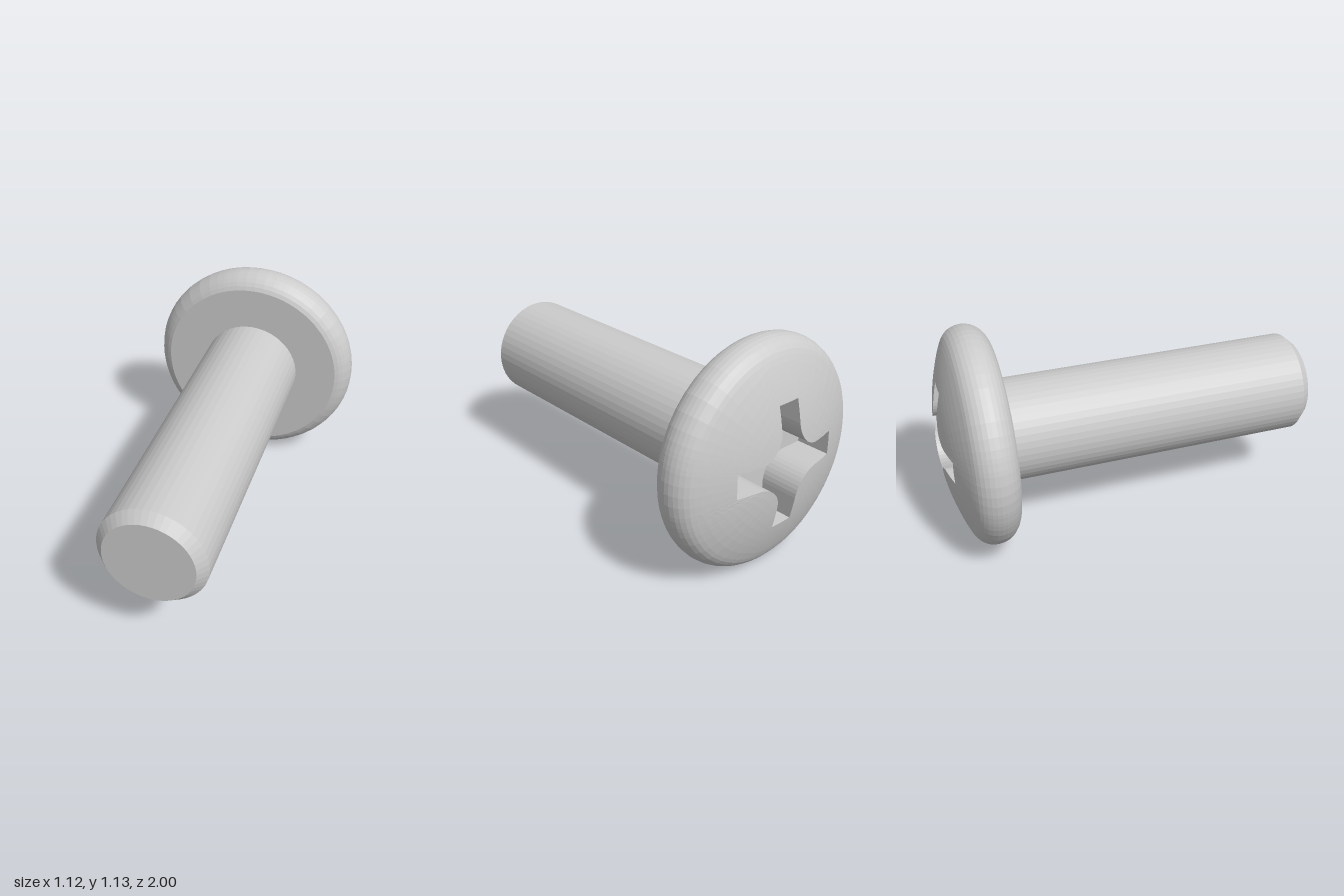
import * as THREE from 'three';

const material = new THREE.MeshStandardMaterial({ color: 0xcccccc, flatShading: true });

// Cross-shaped recess outline with filleted inner corners, counter-clockwise
function crossOutline(length, half, fillet, steps) {
  const c = half + fillet;
  const quarter = [[length, 0], [length, half / 2], [length, half], [(length + c) / 2, half]];
  for (let i = 0; i <= steps; i++) {
    const a = -Math.PI / 2 - (i / steps) * Math.PI / 2;
    quarter.push([c + fillet * Math.cos(a), c + fillet * Math.sin(a)]);
  }
  quarter.push([half, (length + c) / 2], [half, length], [half / 2, length]);
  const points = [];
  for (let q = 0; q < 4; q++) {
    for (const [x, y] of quarter) {
      points.push(new THREE.Vector2(x, y).rotateAround(new THREE.Vector2(), q * Math.PI / 2));
    }
  }
  return points;
}

// Skin between successive loops of equal point count
function loft(rings) {
  const n = rings[0].length, pos = [];
  for (let j = 0; j < rings.length - 1; j++) {
    for (let i = 0; i < n; i++) {
      const k = (i + 1) % n;
      const a = rings[j][i], b = rings[j][k], c = rings[j + 1][k], d = rings[j + 1][i];
      for (const tri of [[a, d, b], [b, d, c]]) {
        const area = new THREE.Triangle(...tri).getArea();
        if (area > 1e-9) for (const v of tri) pos.push(v.x, v.y, v.z);
      }
    }
  }
  const geometry = new THREE.BufferGeometry();
  geometry.setAttribute('position', new THREE.Float32BufferAttribute(pos, 3));
  geometry.computeVertexNormals();
  return geometry;
}

// Pan head: flat underside, rounded rim, shallow dome and cross recess
function headGeometry() {
  const outline = crossOutline(0.305, 0.06, 0.13, 10);
  const domeEdge = 0.493, apex = 0.322, R = 1.24, floor = 0.11;
  const domeHeight = r => apex - R + Math.sqrt(R * R - r * r);
  const circle = (r, h) => outline.map(p => {
    const a = p.angle();
    return new THREE.Vector3(r * Math.cos(a), r * Math.sin(a), -h);
  });
  const rings = [circle(0, 0)];
  // rim
  for (let i = 0; i <= 12; i++) {
    const a = THREE.MathUtils.degToRad(-69 + (136 * i) / 12);
    rings.push(circle(0.447 + 0.118 * Math.cos(a), Math.max(0, 0.11 + 0.118 * Math.sin(a))));
  }
  // dome, blending from the round edge to the recess outline
  for (let i = 1; i <= 8; i++) {
    rings.push(outline.map(p => {
      const r = THREE.MathUtils.lerp(domeEdge, p.length(), i / 8);
      const q = p.clone().setLength(r);
      return new THREE.Vector3(q.x, q.y, -domeHeight(r));
    }));
  }
  // recess wall and floor
  rings.push(outline.map(p => new THREE.Vector3(p.x, p.y, -floor)));
  rings.push(circle(0, floor));
  return loft(rings);
}

export function createModel() {
  const model = new THREE.Group();
  model.name = 'screw';
  const screw = new THREE.Group();
  screw.name = 'tiltedScrew';
  const add = (name, geometry) => {
    const mesh = new THREE.Mesh(geometry, material);
    mesh.name = name;
    screw.add(mesh);
  };

  const length = 1.655, chamfer = 0.05, radius = 0.266, tipRadius = 0.222, sides = 48;
  const body = length - chamfer;
  add('head', headGeometry());
  add('shank', new THREE.CylinderGeometry(radius, radius, body, sides, 1, true)
    .rotateX(Math.PI / 2).translate(0, 0, body / 2));
  add('chamferedTip', new THREE.CylinderGeometry(tipRadius, radius, chamfer, sides)
    .rotateX(Math.PI / 2).translate(0, 0, body + chamfer / 2));

  // the screw lies level, turned slightly towards its left
  screw.rotation.y = THREE.MathUtils.degToRad(7.6);
  screw.position.set(0.016, 0.565, -0.67);
  model.add(screw);
  return model;
}
